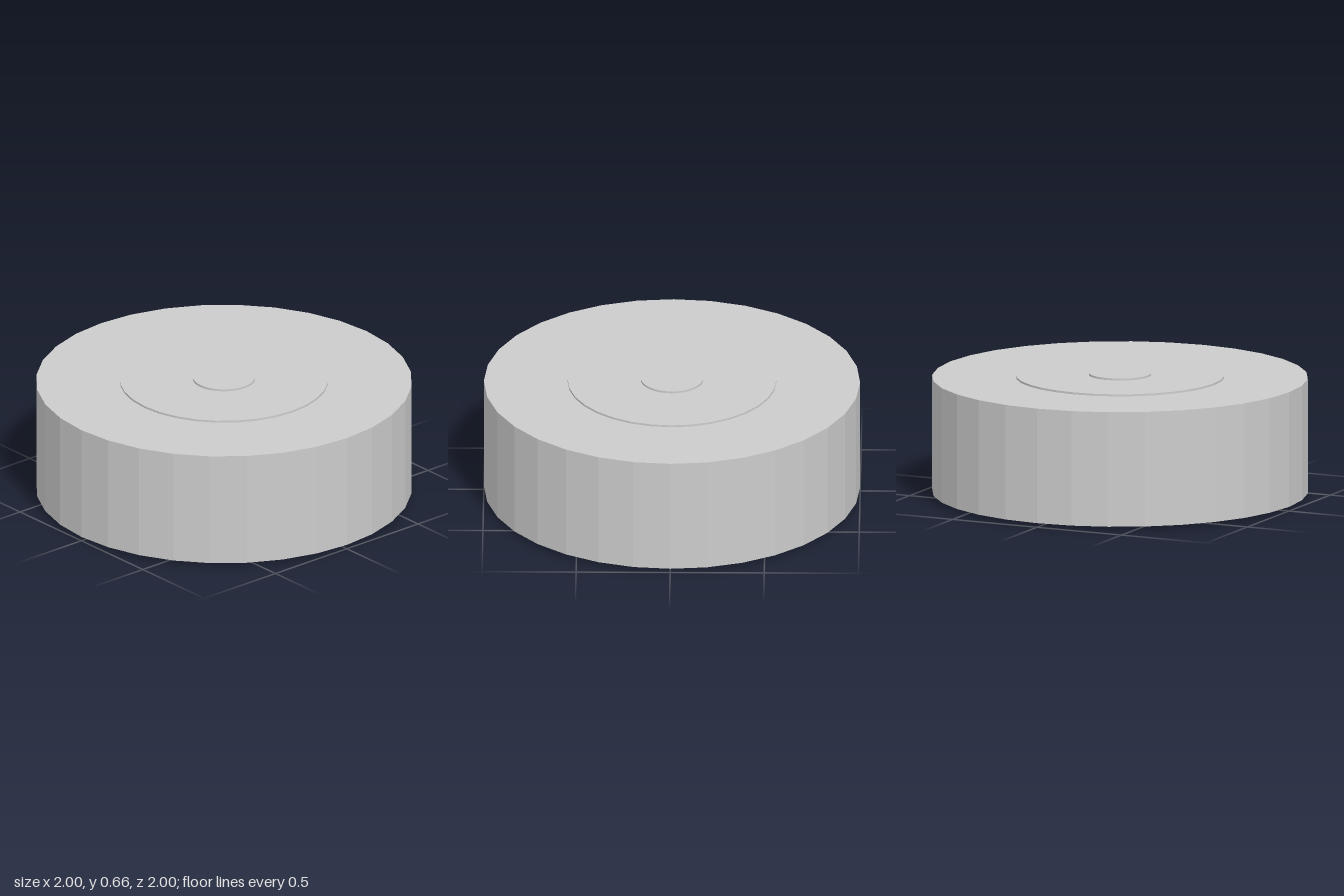
import * as THREE from 'three';

export function createModel() {
  const group = new THREE.Group();
  const material = new THREE.MeshStandardMaterial({ color: 0xcccccc, flatShading: true });
  const centreY = 0.332;

  // Concentric discs sharing one axis, each slightly thicker than the one around it
  const addDisc = (name, radius, height) => {
    const disc = new THREE.Mesh(new THREE.CylinderGeometry(radius, radius, height, 32), material);
    disc.name = name;
    disc.position.y = centreY;
    group.add(disc);
  };

  addDisc('tire', 1, 0.62);
  addDisc('rim', 0.555, 0.642);
  addDisc('hubCap', 0.166, 0.664);

  group.name = 'wheel';
  return group;
}
